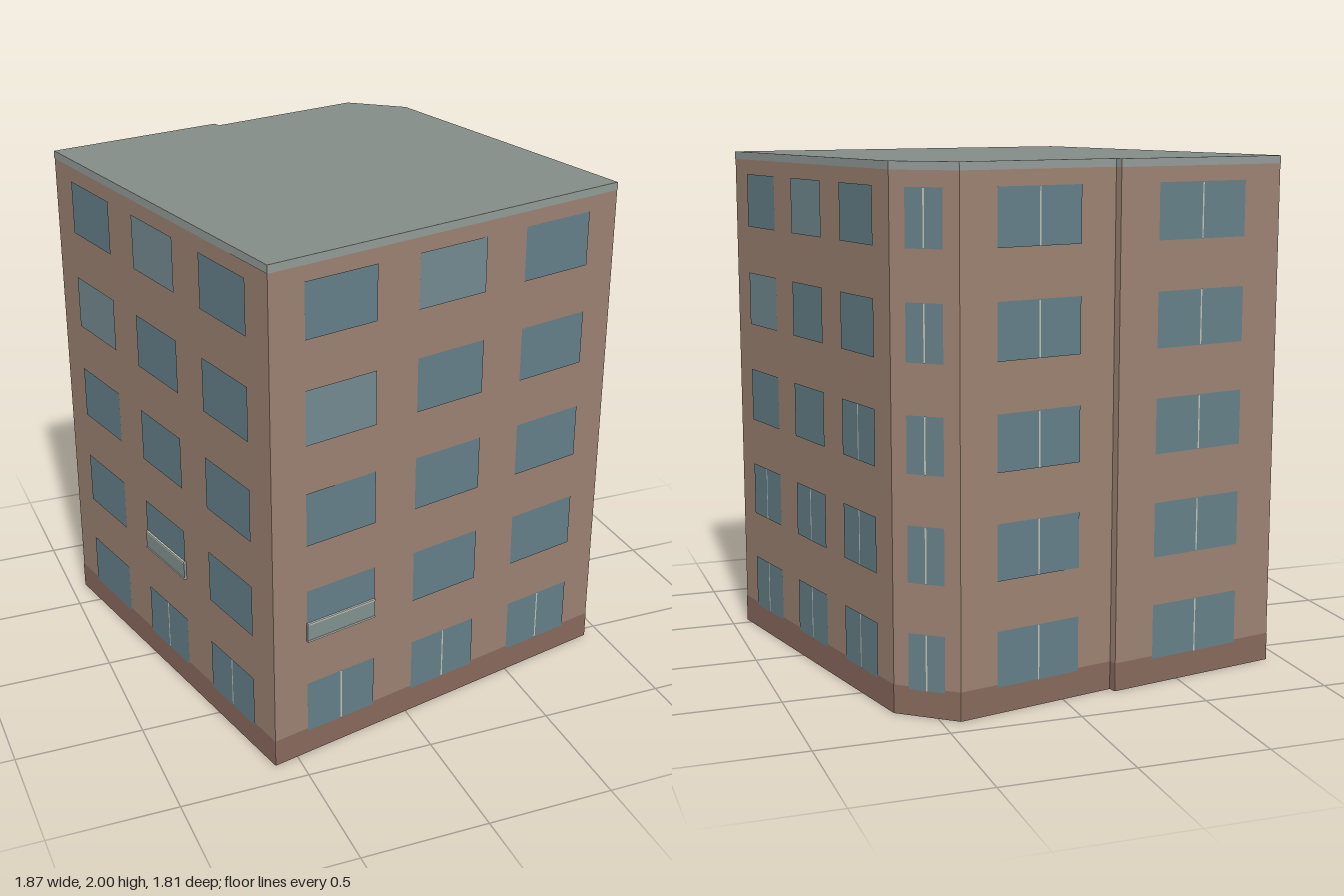
import * as THREE from 'three';

const paint = (color, side = THREE.FrontSide) =>
  new THREE.MeshStandardMaterial({ color, side, flatShading: true });

// Footprint corners [x, z], anticlockwise from the front left corner
const CORNERS = [
  [-0.595, 0.9], [0.93, 0.543], [0.635, -0.742], [0.43, -0.905],
  [-0.21, -0.763], [-0.218, -0.794], [-0.935, -0.65],
];
const HEIGHT = 2, FLOORS = 5, FLOOR_STEP = 0.4;
const THREE_BAYS = [[0.092, 0.287], [0.404, 0.598], [0.716, 0.912]];
const ONE_BAY = [[0.23, 0.77]];
const ground = (bay, floor) => floor === 0;
const always = () => true;

// One entry per wall: window bays as fractions of its length, which windows
// carry a mullion, and the bay of a balcony rail on the second floor
const FACADES = [
  { name: 'front', bays: THREE_BAYS, mullion: ground, rail: 0 },
  { name: 'right', bays: THREE_BAYS, mullion: (b, f) => f < 2 || (f === 2 && b === 2) },
  { name: 'corner', bays: ONE_BAY, mullion: always },
  { name: 'backRight', bays: ONE_BAY, mullion: always },
  { name: 'step', bays: [], mullion: ground },
  { name: 'backLeft', bays: ONE_BAY, mullion: always },
  { name: 'left', bays: THREE_BAYS, mullion: (b, f) => f === 0 && b > 0, rail: 1 },
];

export function createModel() {
  const building = new THREE.Group();
  building.name = 'apartmentBuilding';
  const mats = {
    wall: paint(0x9c8272, THREE.DoubleSide),
    roof: paint(0x838c88, THREE.DoubleSide),
    cornice: paint(0x929b97),
    base: paint(0x87695c),
    glass: paint(0x657f88),
    paleGlass: paint(0x738a90),
    frame: paint(0xc0bfb4),
    railPanel: paint(0x82928f),
  };

  // Flat panel on a wall, from x0..x1 and y0..y1, lifted out by z
  const panel = (parent, name, mat, x0, x1, y0, y1, z) => {
    const mesh = new THREE.Mesh(new THREE.PlaneGeometry(x1 - x0, y1 - y0), mat);
    mesh.position.set((x0 + x1) / 2, (y0 + y1) / 2, z);
    mesh.name = name;
    parent.add(mesh);
  };
  // Solid bar on a wall, projecting from its surface to depth z
  const bar = (parent, name, mat, x0, x1, y0, y1, z) => {
    const mesh = new THREE.Mesh(new THREE.BoxGeometry(x1 - x0, y1 - y0, z), mat);
    mesh.position.set((x0 + x1) / 2, (y0 + y1) / 2, z / 2);
    mesh.name = name;
    parent.add(mesh);
  };

  FACADES.forEach(({ name, bays, mullion, rail }, i) => {
    const [ax, az] = CORNERS[i];
    const [bx, bz] = CORNERS[(i + 1) % CORNERS.length];
    const length = Math.hypot(bx - ax, bz - az);

    // Local x runs along the wall and local z points outwards
    const facade = new THREE.Group();
    facade.name = name + 'Facade';
    facade.position.set(ax, 0, az);
    facade.rotation.y = Math.atan2(az - bz, bx - ax);
    building.add(facade);

    panel(facade, 'wall', mats.wall, 0, length, 0, HEIGHT, 0);
    panel(facade, 'base', mats.base, 0, length, 0, 0.11, 0.002);
    panel(facade, 'cornice', mats.cornice, 0, length, 1.97, HEIGHT, 0.002);

    // Windows on every floor
    bays.forEach(([u0, u1], bay) => {
      const x0 = u0 * length, x1 = u1 * length, mid = (x0 + x1) / 2;
      for (let floor = 0; floor < FLOORS; floor++) {
        const y = 0.1 + floor * FLOOR_STEP;
        const pale = bays.length === 3 &&
          ((floor === 4 && bay === 1) || (floor === 3 && bay === 0));
        panel(facade, 'window', pale ? mats.paleGlass : mats.glass, x0, x1, y, y + 0.212, 0.004);
        if (mullion(bay, floor))
          panel(facade, 'mullion', mats.frame, mid - 0.003, mid + 0.003, y, y + 0.212, 0.006);
      }
      // Shallow balcony rail
      if (rail === bay) {
        bar(facade, 'railPanel', mats.railPanel, x0, x1, 0.5, 0.575, 0.01);
        bar(facade, 'railTop', mats.frame, x0, x1, 0.57, 0.577, 0.012);
        bar(facade, 'railBottom', mats.frame, x0, x1, 0.498, 0.505, 0.012);
      }
    });
  });

  // Flat roof; the underside stays open
  const outline = new THREE.Shape(CORNERS.map(([x, z]) => new THREE.Vector2(x, -z)));
  const roof = new THREE.Mesh(new THREE.ShapeGeometry(outline).rotateX(-Math.PI / 2), mats.roof);
  roof.position.y = HEIGHT;
  roof.name = 'roof';
  building.add(roof);

  return building;
}
